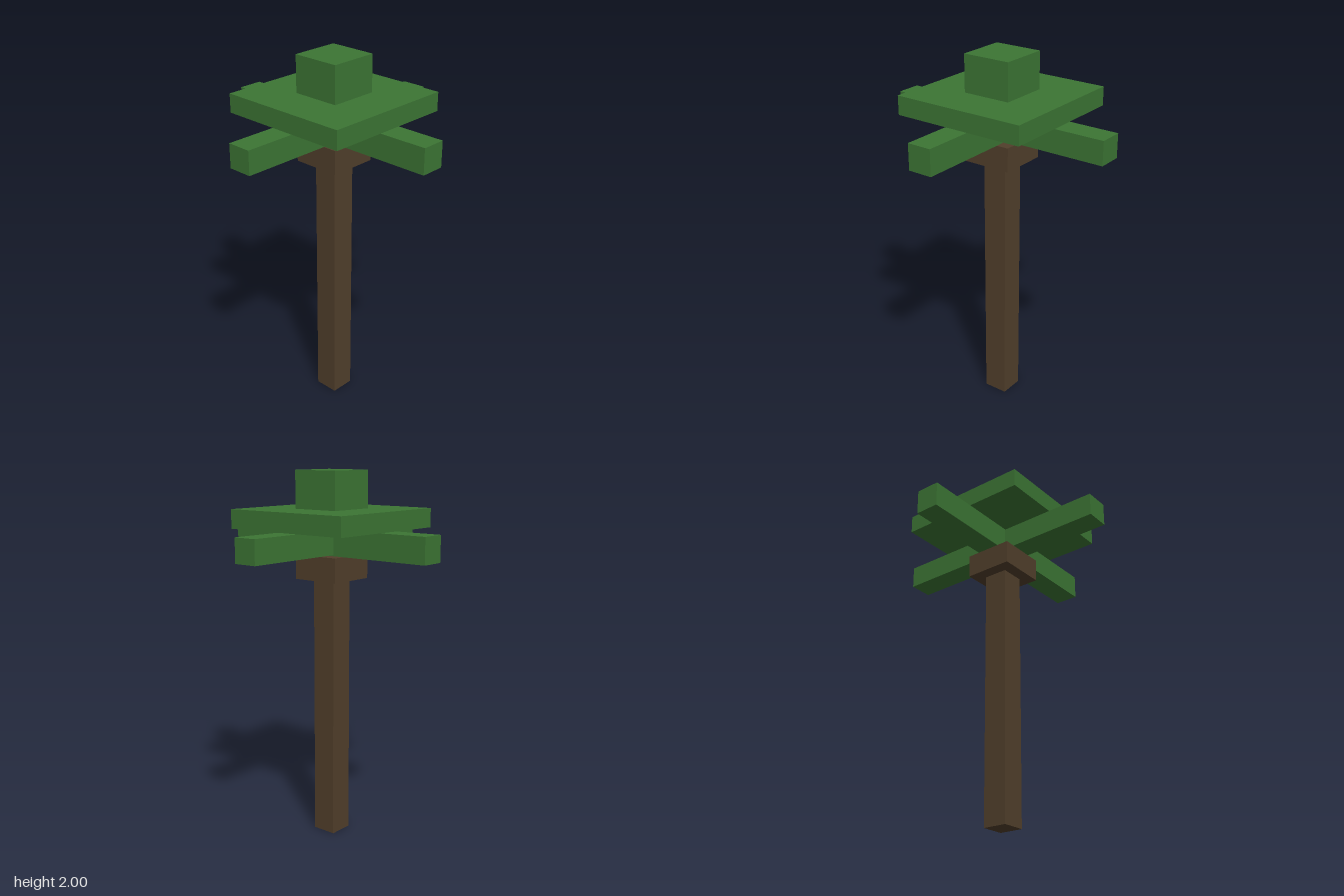
import * as THREE from 'three';

export function createModel() {
  const tree = new THREE.Group();
  tree.name = 'blockTree';

  const bark = new THREE.MeshStandardMaterial({ color: 0x513f2b });
  bark.name = 'bark brown';
  const leaf = new THREE.MeshStandardMaterial({ color: 0x3c7534 });
  leaf.name = 'leaf green';

  // Box centred on the trunk axis, spanning bottom to top
  function block(name, width, depth, bottom, top, material) {
    const mesh = new THREE.Mesh(new THREE.BoxGeometry(width, top - bottom, depth), material);
    mesh.name = name;
    mesh.position.y = (bottom + top) / 2;
    tree.add(mesh);
  }

  // Trunk and its wider collar
  block('trunk', 0.135, 0.135, 0, 1.43, bark);
  block('trunkCollar', 0.27, 0.27, 1.43, 1.56, bark);

  // Crossed branches, one slightly slimmer so the faces do not coincide
  block('sideBranch', 1.286, 0.134, 1.566, 1.694, leaf);
  block('frontBackBranch', 0.134, 1.286, 1.56, 1.698, leaf);

  // Leaf canopy and top tuft
  block('canopy', 0.746, 0.746, 1.698, 1.8, leaf);
  block('topTuft', 0.27, 0.27, 1.8, 2, leaf);

  return tree;
}
